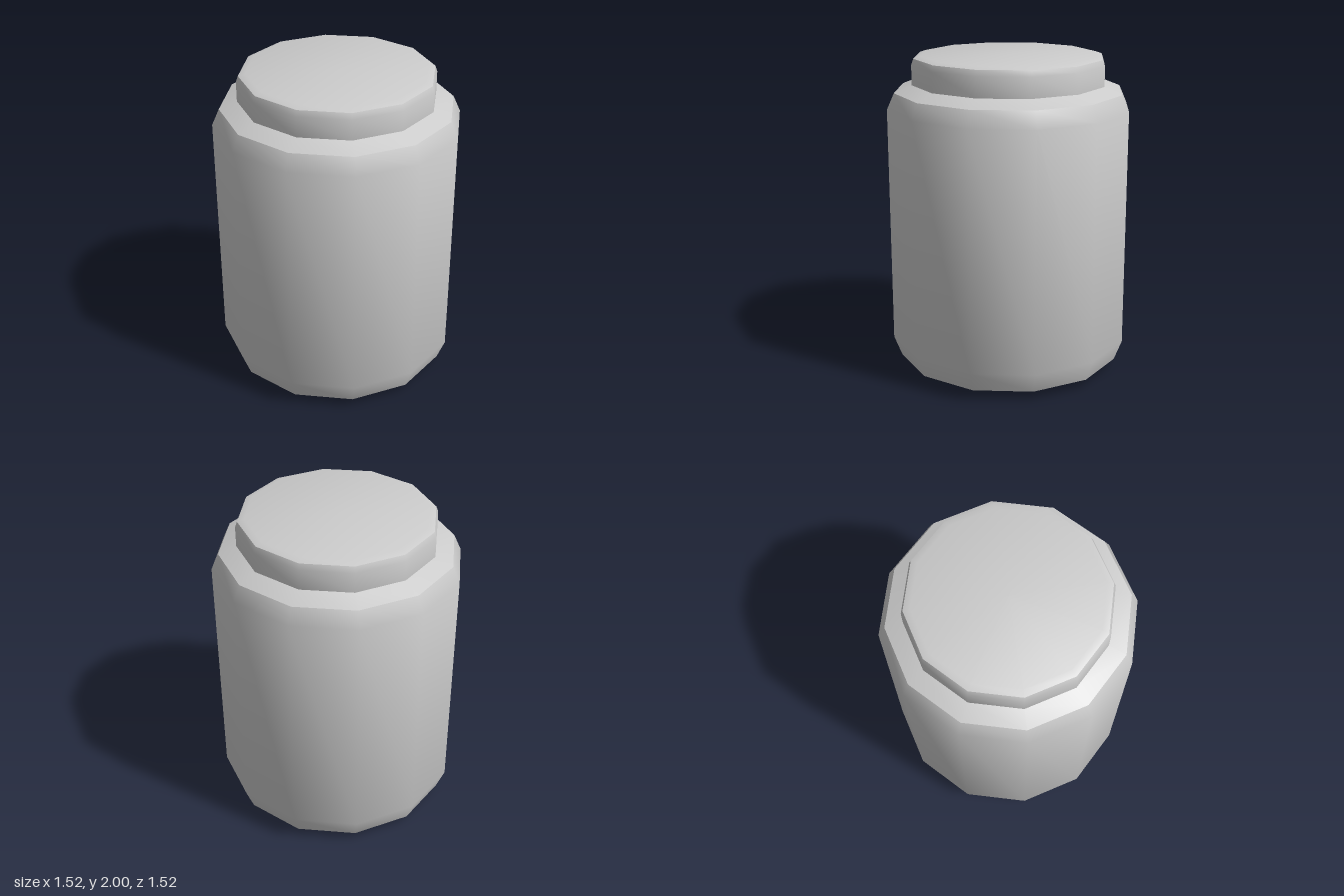
import * as THREE from 'three';
import { toCreasedNormals } from 'three/addons/utils/BufferGeometryUtils.js';

const SIDES = 12;
const CREASE = THREE.MathUtils.degToRad(38);

// Revolves [radius, height] points, listed bottom to top, into a twelve-sided part
function turnedPart(name, profile, material) {
  const points = profile.map(([r, y]) => new THREE.Vector2(r, y));
  const geometry = toCreasedNormals(new THREE.LatheGeometry(points, SIDES), CREASE);
  const mesh = new THREE.Mesh(geometry, material);
  mesh.name = name;
  return mesh;
}

export function createModel() {
  const model = new THREE.Group();
  model.name = 'jar';
  const grey = new THREE.MeshStandardMaterial({ color: 0xcccccc });

  // Closed base, bevelled foot, straight wall and sloping shoulder
  model.add(turnedPart('jarBody', [
    [0, 0], [0.57, 0.005], [0.71, 0.06], [0.76, 0.19],
    [0.76, 1.68], [0.715, 1.78], [0.605, 1.825],
  ], grey));

  // Narrower lid with a softened top rim
  model.add(turnedPart('lid', [
    [0.605, 1.825], [0.605, 1.95], [0.592, 1.986], [0.55, 2], [0, 2],
  ], grey));

  return model;
}
